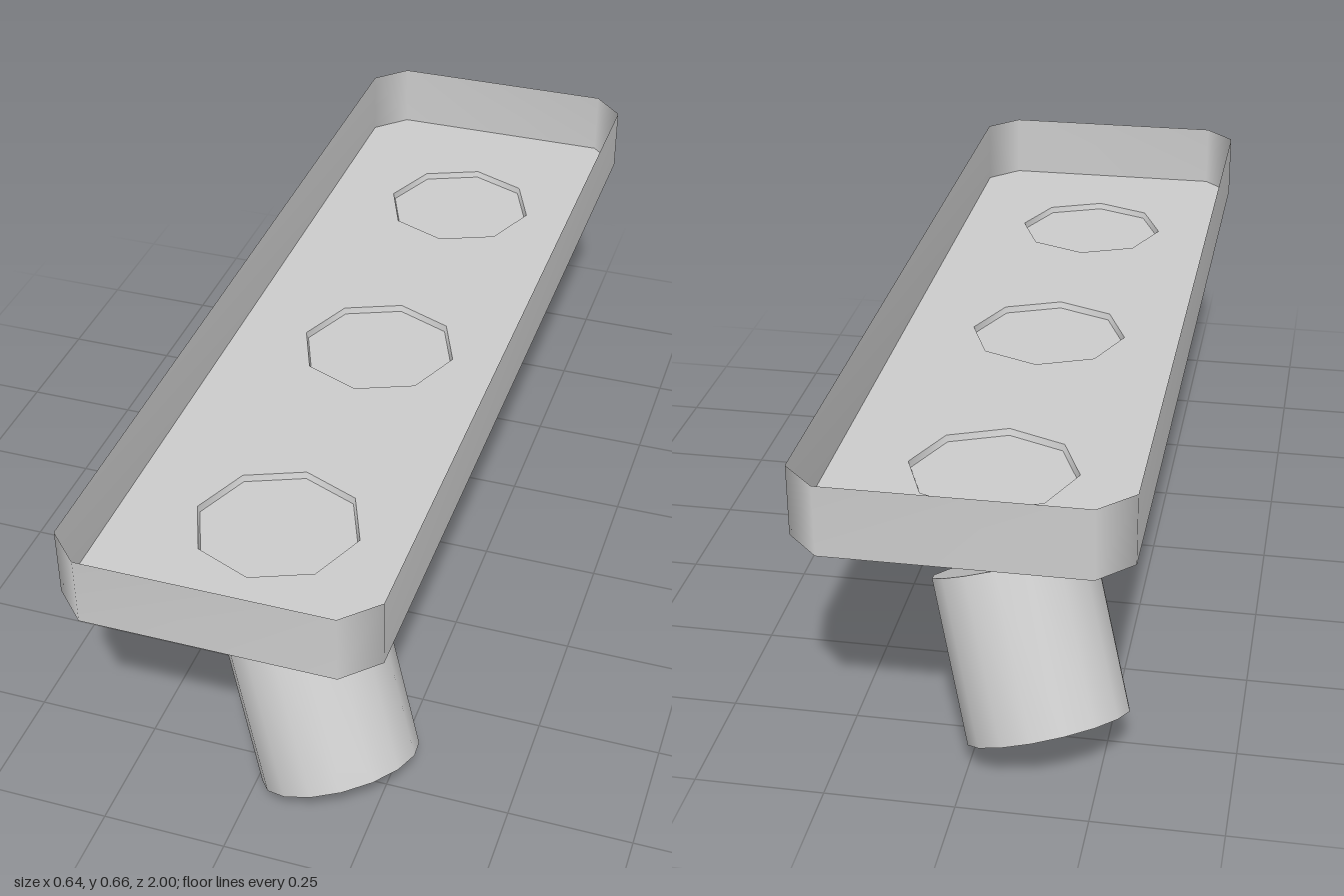
import * as THREE from 'three';
import { toCreasedNormals, mergeVertices } from 'three/addons/utils/BufferGeometryUtils.js';

const material = new THREE.MeshStandardMaterial({ color: 0xcccccc, side: THREE.DoubleSide });

const FLOOR = 0.515, TOP = 0.655, CENTER_X = -0.008;
const HALF_W = 0.312, HALF_L = 1, CHAMFER = 0.065, HOLE = 0.166;

function mesh(name, geometry) {
  const m = new THREE.Mesh(geometry, material);
  m.name = name;
  return m;
}

// Turned part from [radius, height] pairs, with sharp edges kept
function turned(name, profile, sides, crease) {
  const points = profile.map(([r, y]) => new THREE.Vector2(r, y));
  return mesh(name, toCreasedNormals(new THREE.LatheGeometry(points, sides), crease));
}

// Tray outline, chamfered at the corners, as [x, z]
function trayOutline() {
  const w = HALF_W, l = HALF_L, c = CHAMFER;
  return [
    [w, l - c], [w - c, l], [-w + c, l], [-w, l - c],
    [-w, -l + c], [-w + c, -l], [w - c, -l], [w, -l + c],
  ];
}

// Thin upright wall with softened corners
function trayWall() {
  const outline = trayOutline(), positions = [], index = [], n = outline.length;
  outline.forEach(([x, z], i) => {
    positions.push(x, FLOOR, z, x, TOP, z);
    const a = 2 * i, b = 2 * ((i + 1) % n);
    index.push(a, a + 1, b, b, a + 1, b + 1);
  });
  const g = new THREE.BufferGeometry();
  g.setAttribute('position', new THREE.Float32BufferAttribute(positions, 3));
  g.setIndex(index);
  g.computeVertexNormals();
  return mesh('trayWall', g);
}

// Flat floor with an octagonal opening over each socket
function trayFloor(socketZ) {
  const shape = new THREE.Shape(trayOutline().map(([x, z]) => new THREE.Vector2(x, -z)));
  for (const z of socketZ) {
    const hole = [];
    for (let i = 0; i < 8; i++) {
      const a = (i * Math.PI) / 4;
      hole.push(new THREE.Vector2(HOLE * Math.cos(a), -z + HOLE * Math.sin(a)));
    }
    shape.holes.push(new THREE.Path(hole));
  }
  const g = new THREE.ShapeGeometry(shape);
  g.rotateX(-Math.PI / 2);
  g.translate(0, FLOOR, 0);
  return mesh('trayFloor', g);
}

// Faceted dome under the tray, with a shallow recessed cap on top
function socket() {
  const g = new THREE.Group();
  g.name = 'socket';
  g.add(turned('socketDome', [
    [0, 0.406], [0.06, 0.411], [0.115, 0.434], [0.153, 0.476], [HOLE, FLOOR],
  ], 8, 1.0));
  g.add(turned('socketCap', [[HOLE, FLOOR], [0.162, 0.502], [0, 0.502]], 8, 0.5));
  return g;
}

// Lamp hanging from its pivot along -y, with a recessed lens
function lamp() {
  const g = new THREE.Group();
  g.name = 'lamp';
  g.add(turned('lampNeck', [[0.072, -0.19], [0.072, -0.09], [0, -0.09]], 12, 0.7));
  g.add(turned('lampHousing', [
    [0.131, -0.478], [0.131, -0.502], [0.159, -0.502], [0.159, -0.18], [0, -0.18],
  ], 16, 0.6));
  g.add(turned('lampLens', [[0, -0.478], [0.131, -0.478]], 16, 0.6));
  return g;
}

export function createModel() {
  const model = new THREE.Group();
  model.name = 'spotlightBar';

  // Position of each lamp along the tray and the direction it points
  const lamps = [
    { z: 0.63, aim: [0.348, -0.885, 0.311] },
    { z: 0, aim: [-0.03, -0.995, 0.09] },
    { z: -0.63, aim: [-0.276, -0.88, -0.385] },
  ];

  const tray = new THREE.Group();
  tray.name = 'tray';
  tray.add(trayWall(), trayFloor(lamps.map((l) => l.z)));
  tray.position.x = CENTER_X;
  model.add(tray);

  const down = new THREE.Vector3(0, -1, 0);
  for (const { z, aim } of lamps) {
    const base = socket();
    base.position.set(CENTER_X, 0, z);
    const head = lamp();
    head.position.set(CENTER_X, 0.518, z);
    head.quaternion.setFromUnitVectors(down, new THREE.Vector3(...aim).normalize());
    model.add(base, head);
  }
  return model;
}
